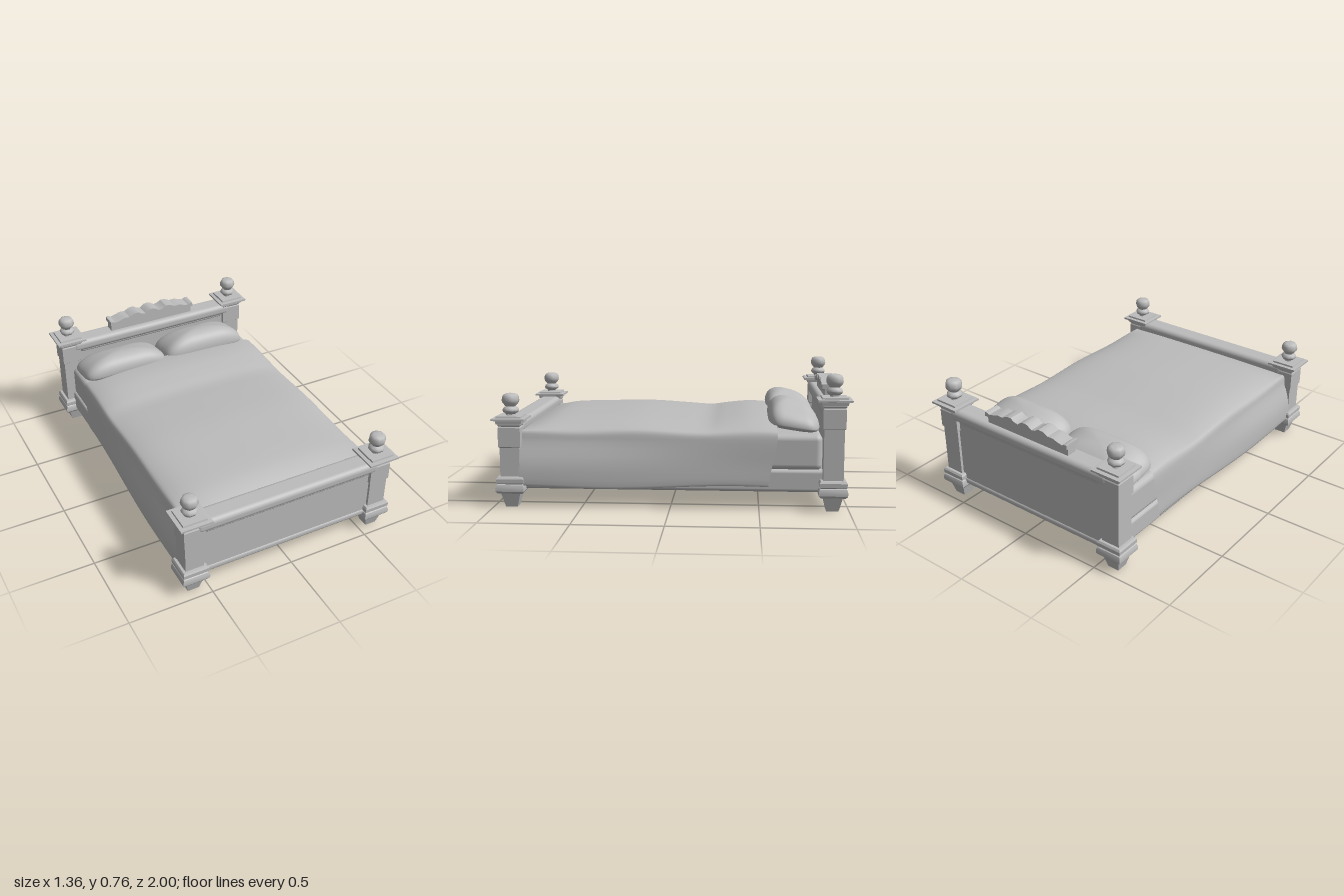
import * as THREE from 'three';
import { toCreasedNormals } from 'three/addons/utils/BufferGeometryUtils.js';
import { RoundedBoxGeometry } from 'three/addons/geometries/RoundedBoxGeometry.js';

const POST_X = 0.587, FOOT_Z = 0.9, HEAD_Z = -0.907;

export function createModel() {
  const bed = new THREE.Group();
  bed.name = 'bed';
  const grey = new THREE.MeshStandardMaterial({ color: 0xbcbcbc });
  grey.name = 'plain grey';
  const greyCloth = grey.clone();
  greyCloth.name = 'plain grey cloth';
  greyCloth.side = THREE.DoubleSide;

  const add = (name, geometry, x = 0, y = 0, z = 0, parent = bed, material = grey) => {
    const mesh = new THREE.Mesh(geometry, material);
    mesh.name = name;
    mesh.position.set(x, y, z);
    parent.add(mesh);
    return mesh;
  };
  // Box given by its limits, optionally with rounded edges
  const box = (name, [x0, x1], [y0, y1], [z0, z1], radius = 0) => {
    const size = [x1 - x0, y1 - y0, z1 - z0];
    const g = radius ? new RoundedBoxGeometry(...size, 4, radius) : new THREE.BoxGeometry(...size);
    return add(name, g, (x0 + x1) / 2, (y0 + y1) / 2, (z0 + z1) / 2);
  };
  // Turned profile of [half width, height]; four sides give a square post
  const turned = (profile, sides, crease) => {
    const k = sides === 4 ? Math.SQRT2 : 1;
    const pts = profile.map(([r, y]) => new THREE.Vector2(r * k, y));
    return toCreasedNormals(new THREE.LatheGeometry(pts, sides, Math.PI / sides), crease);
  };

  // Corner posts: square shaft, stacked cap and turned finial
  const post = (name, x, z, lift) => {
    const g = new THREE.Group();
    g.name = name;
    g.position.set(x, 0, z);
    bed.add(g);
    add('taperedFoot', turned([[0, 0], [0.034, 0], [0.056, 0.085]], 4, 0.4), 0, 0, 0, g);
    add('baseMoulding', turned([[0.05, 0.08], [0.07, 0.082], [0.08, 0.095], [0.081, 0.115], [0.075, 0.132],
      [0.069, 0.136], [0.076, 0.142], [0.077, 0.165], [0.07, 0.176], [0.05, 0.178]], 4, 0.6), 0, 0, 0, g);
    add('shaft', turned([[0.056, 0.17], [0.056, 0.342 + lift], [0.063, 0.347 + lift], [0.063, 0.455 + lift],
      [0.059, 0.462 + lift], [0.064, 0.47 + lift], [0.064, 0.49 + lift]], 4, 0.4), 0, 0, 0, g);
    add('cap', turned([[0.06, 0.475], [0.071, 0.477], [0.074, 0.495], [0.094, 0.498], [0.094, 0.509],
      [0.072, 0.511], [0.07, 0.521], [0, 0.521]], 4, 0.4), 0, lift, 0, g);
    add('finial', turned([[0.028, 0.515], [0.026, 0.528], [0.042, 0.538], [0.048, 0.55], [0.042, 0.563],
      [0.029, 0.572], [0.046, 0.592], [0.05, 0.605], [0.047, 0.625], [0.04, 0.638], [0.024, 0.644], [0, 0.645]],
      8, 0.9), 0, lift, 0, g);
  };
  for (const [side, s] of [['left', 1], ['right', -1]]) {
    post(side + 'FootPost', s * POST_X, FOOT_Z, 0);
    post(side + 'HeadPost', s * POST_X, HEAD_Z, 0.12);
  }

  // Footboard and headboard: panel, rounded top rail, thin bottom bead
  const board = (name, z, top) => {
    box(name + 'Panel', [-0.55, 0.55], [0.12, top - 0.05], [z - 0.04, z + 0.04]);
    box(name + 'BottomRail', [-0.55, 0.55], [0.103, 0.15], [z - 0.046, z + 0.046], 0.02);
    box(name + 'TopRail', [-0.575, 0.575], [top - 0.075, top], [z - 0.066, z + 0.066], 0.03);
    box(name + 'RailCove', [-0.52, 0.52], [top - 0.088, top - 0.05], [z - 0.052, z + 0.052], 0.015);
  };
  board('footboard', FOOT_Z, 0.49);
  board('headboard', HEAD_Z, 0.602);

  // Scalloped crest on the headboard with a moulding that follows its edge
  const half = [[0, 0.704], [0.022, 0.7], [0.05, 0.68], [0.075, 0.685], [0.1, 0.701], [0.13, 0.7],
    [0.165, 0.682], [0.2, 0.684], [0.235, 0.672], [0.265, 0.666], [0.28, 0.674], [0.297, 0.674]];
  const edge = [...half.slice(1).reverse().map(([x, y]) => [-x, y]), ...half];
  const strip = (lower, depth, inset) => {
    const shape = new THREE.Shape();
    const clampX = (x) => Math.max(-0.297 + inset, Math.min(0.297 - inset, x));
    edge.forEach(([x, y], i) => (i ? shape.lineTo(clampX(x), y - inset) : shape.moveTo(clampX(x), y - inset)));
    [...edge].reverse().forEach(([x, y]) => shape.lineTo(clampX(x), lower(y)));
    const g = new THREE.ExtrudeGeometry(shape, { depth, bevelEnabled: false });
    return toCreasedNormals(g.translate(0, 0, -depth / 2), 0.5);
  };
  add('crestPanel', strip(() => 0.59, 0.06, 0.006), 0, 0, -0.91);
  add('crestMoulding', strip((y) => y - 0.026, 0.092, 0), 0, 0, -0.91);

  // Side rails, deck, centre beam and cross slats
  for (const [side, s] of [['left', 1], ['right', -1]]) {
    const rail = box(side + 'SideRail', [0.53, 0.6], [0.1, 0.228], [-0.87, 0.87], 0.02);
    rail.position.x *= s;
  }
  box('deck', [-0.56, 0.56], [0.19, 0.225], [-0.87, 0.87]);
  box('centreBeam', [-0.022, 0.022], [0.125, 0.19], [-0.87, 0.87]);
  for (let i = 0; i < 7; i++) {
    const z = -0.66 + i * 0.22;
    box('slat', [-0.55, 0.55], [0.155, 0.195], [z - 0.02, z + 0.02]);
  }
  box('mattress', [-0.595, 0.595], [0.222, 0.425], [-0.85, 0.84], 0.035);

  // Blanket: cross-sections over the mattress, lofted from head to foot
  const tops = [[-0.6, 0.492], [-0.52, 0.503], [-0.42, 0.505], [-0.3, 0.49], [-0.2, 0.474], [-0.05, 0.486],
    [0.2, 0.503], [0.45, 0.5], [0.65, 0.492], [0.75, 0.473], [0.85, 0.435]];
  const topCurve = new THREE.SplineCurve(tops.map((p) => new THREE.Vector2(...p)));
  const ROWS = 48, COLS = 48;
  const verts = [], index = [];
  for (let i = 0; i <= ROWS; i++) {
    const t = i / ROWS;
    const { x: z, y: top } = topCurve.getPoint(t);
    const flare = 0.612 + 0.033 * THREE.MathUtils.smoothstep(z, -0.6, 0.7);
    const hem = 0.122 - 0.008 * Math.sin(z * 5) + 0.01 * (1 - t);
    const shoulder = 0.425 + 0.005 * Math.sin(z * 9);
    const rise = top - shoulder;
    const section = new THREE.SplineCurve([[flare - 0.012, hem - 0.004], [flare, hem + 0.01], [flare - 0.004, 0.25],
      [0.607, 0.37], [0.598, shoulder], [0.565, shoulder + 0.33 * rise], [0.47, shoulder + 0.68 * rise],
      [0.3, top - 0.1 * rise], [0, top]].map((p) => new THREE.Vector2(...p)));
    for (let j = 0; j <= COLS; j++) {
      const u = (2 * j) / COLS - 1;
      const p = section.getPoint(1 - Math.abs(u));
      const slant = (1 - t) ** 6 * 0.05 * (1 - THREE.MathUtils.smoothstep(p.y, 0.1, 0.43));
      verts.push(Math.sign(u) * p.x, p.y, z + slant);
      if (i < ROWS && j < COLS) {
        const a = i * (COLS + 1) + j, b = a + COLS + 1;
        index.push(a, b, a + 1, a + 1, b, b + 1);
      }
    }
  }
  const blanket = new THREE.BufferGeometry();
  blanket.setAttribute('position', new THREE.Float32BufferAttribute(verts, 3));
  blanket.setIndex(index);
  blanket.computeVertexNormals();
  add('blanket', blanket, 0, 0, 0, bed, greyCloth);

  // Pillows: spheres squared off in plan, plump above and thin below
  const pillow = (name, x, height) => {
    const g = new THREE.SphereGeometry(1, 48, 28);
    const p = g.attributes.position;
    const power = (v, e) => Math.sign(v) * Math.abs(v) ** e;
    for (let i = 0; i < p.count; i++) {
      const px = p.getX(i), py = p.getY(i), pz = p.getZ(i);
      const rho = Math.hypot(px, pz) || 1;
      const grow = Math.min(1, Math.hypot(px, pz)) ** 0.9;
      const nx = power(px / rho, 0.4) * grow, nz = power(pz / rho, 0.4) * grow;
      const lift = py > 0 ? height * (1 + 0.15 * nz) : 0.05;
      p.setXYZ(i, nx * 0.28, 0.47 + 0.022 * nz - 0.012 * nx * nx + py * lift, nz * 0.147);
    }
    g.computeVertexNormals();
    add(name, g, x, 0, -0.697);
  };
  pillow('rightPillow', -0.308, 0.105);
  pillow('leftPillow', 0.252, 0.12);

  return bed;
}
